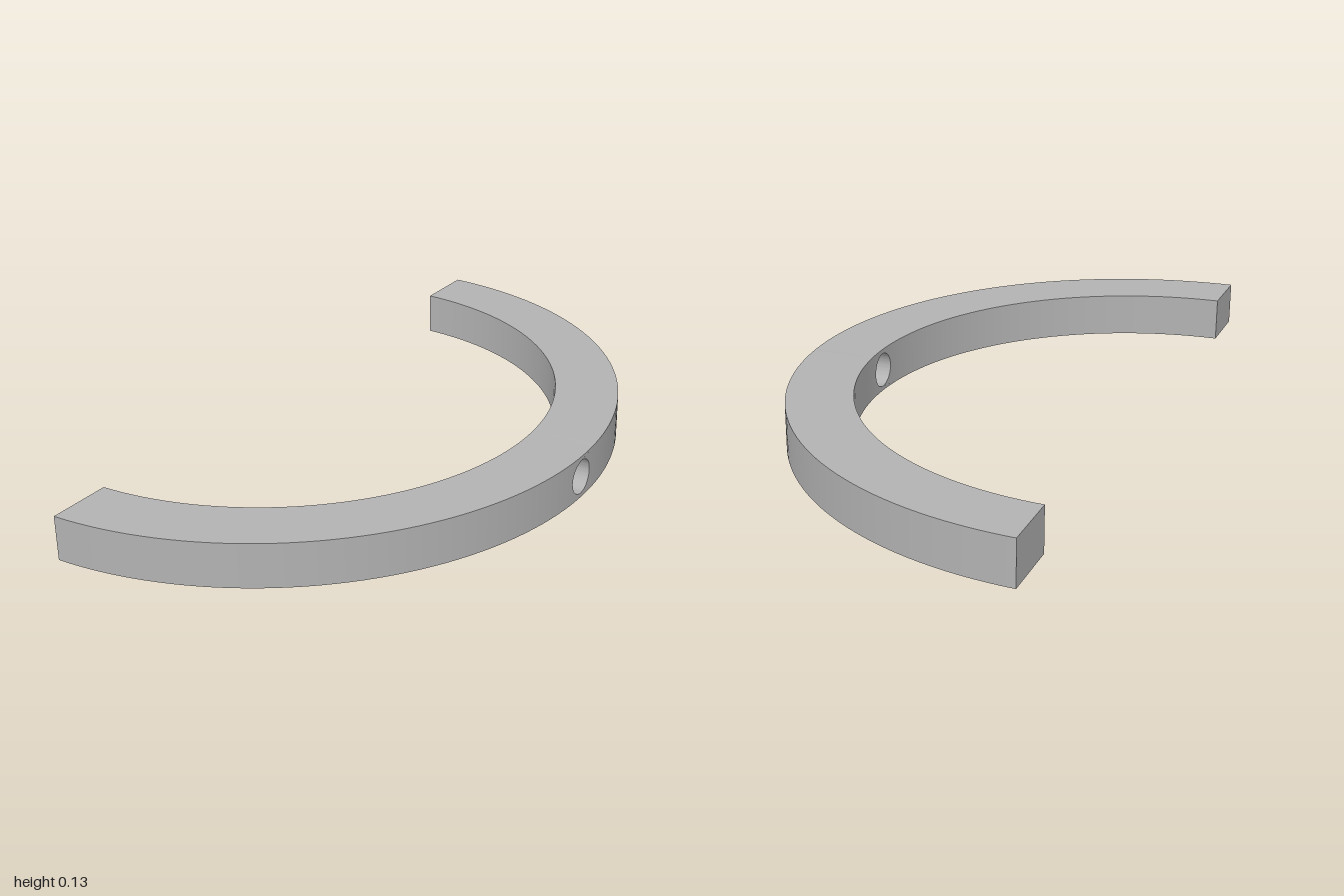
import * as THREE from 'three';
import { toCreasedNormals } from 'three/addons/utils/BufferGeometryUtils.js';

const OUTER = 1, INNER = 0.815, HEIGHT = 0.127;
const CENTRE_X = -0.509, END_X = -0.491;   // arc centre and the plane of the cut ends
const HOLE_RADIUS = 0.05, HALF = 0.08;     // cross hole and half width of the drilled section

// Sharp edges, with true radial normals on the two curved walls
function smoothWalls(source) {
  const geo = toCreasedNormals(source, 0.6);
  const p = geo.attributes.position, n = geo.attributes.normal;
  const normal = new THREE.Vector3(), radial = new THREE.Vector3();
  for (let i = 0; i < p.count; i++) {
    normal.fromBufferAttribute(n, i);
    radial.set(p.getX(i) - CENTRE_X, 0, p.getZ(i)).normalize();
    const d = normal.dot(radial);
    if (Math.abs(d) > 0.95) n.setXYZ(i, radial.x * Math.sign(d), 0, radial.z * Math.sign(d));
  }
  return geo;
}

// Curved arm from the drilled section to the cut end
function armGeometry(side) {
  const shape = new THREE.Shape();
  const steps = 40;
  const addArc = (radius, reverse) => {
    const a0 = Math.asin(HALF / radius), a1 = Math.acos((END_X - CENTRE_X) / radius);
    for (let i = 0; i <= steps; i++) {
      const t = (reverse ? steps - i : i) / steps;
      const a = a0 + (a1 - a0) * t;
      const x = CENTRE_X + radius * Math.cos(a), y = side * radius * Math.sin(a);
      if (i === 0 && !reverse) shape.moveTo(x, y);
      else shape.lineTo(x, y);
    }
  };
  addArc(OUTER, false);
  addArc(INNER, true);
  const geo = new THREE.ExtrudeGeometry(shape, { depth: HEIGHT, bevelEnabled: false });
  geo.rotateX(-Math.PI / 2);
  return smoothWalls(geo);
}

// Middle section with a straight round hole, bent onto the two radii
function drilledGeometry() {
  const steps = 8, points = [];
  for (let i = 0; i <= steps; i++) points.push(new THREE.Vector2(-HALF + 2 * HALF * i / steps, 0));
  for (let i = 0; i <= steps; i++) points.push(new THREE.Vector2(HALF - 2 * HALF * i / steps, HEIGHT));
  const shape = new THREE.Shape(points);
  shape.holes.push(new THREE.Path().absarc(0, HEIGHT / 2, HOLE_RADIUS, 0, Math.PI * 2, true));
  const geo = new THREE.ExtrudeGeometry(shape, { depth: 1, bevelEnabled: false, curveSegments: 32 });
  geo.rotateY(Math.PI / 2);
  const p = geo.attributes.position;
  for (let i = 0; i < p.count; i++) {
    const radius = p.getX(i) > 0.5 ? OUTER : INNER;
    p.setX(i, CENTRE_X + Math.sqrt(radius * radius - p.getZ(i) ** 2));
  }
  return smoothWalls(geo);
}

export function createModel() {
  const group = new THREE.Group();
  group.name = 'halfRing';
  const grey = new THREE.MeshStandardMaterial({ color: 0xb2b2b2 });
  grey.name = 'grey';
  const add = (name, geo) => {
    const mesh = new THREE.Mesh(geo, grey);
    mesh.name = name;
    group.add(mesh);
  };
  add('drilledSection', drilledGeometry());
  add('backArm', armGeometry(1));
  add('frontArm', armGeometry(-1));
  return group;
}
